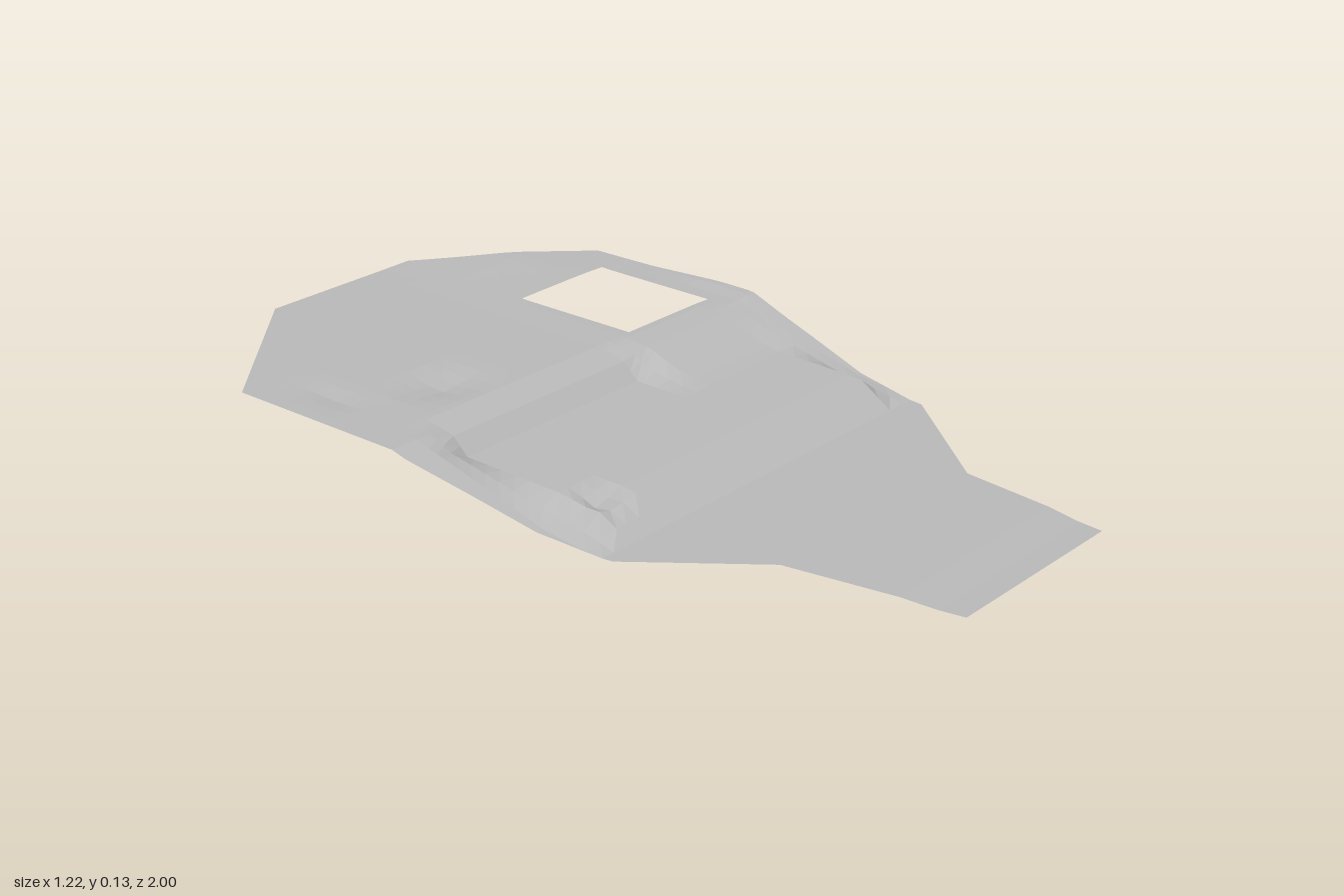
import * as THREE from 'three';

// piecewise-linear lookup through [input, output] pairs
function lerpTable(table, v) {
  if (v <= table[0][0]) return table[0][1];
  for (let i = 1; i < table.length; i++) {
    const [a, p] = table[i - 1], [b, q] = table[i];
    if (v <= b) return p + (q - p) * (v - a) / (b - a);
  }
  return table[table.length - 1][1];
}
const bump = (x, z, cx, cz, rx, rz) =>
  Math.max(0, 1 - Math.abs(x - cx) / rx) * Math.max(0, 1 - Math.abs(z - cz) / rz);

// outline, as x against z
const LEFT = [[-1, -0.22], [-0.67, -0.61], [-0.16, -0.61], [0.34, -0.53], [0.6, -0.325], [1, -0.26]];
const RIGHT = [[-1, 0.22], [-0.69, 0.585], [-0.22, 0.605], [0.35, 0.525], [0.64, 0.28], [1, 0.235]];
const HOLE = { x0: 0.21, x1: 0.5, z0: -0.6, z1: -0.26 };

// heights against z: stepped terraces, soft right-hand slope, and outer ramps
const TERRACE = [[-1, 0.126], [-0.26, 0.124], [-0.18, 0.108], [-0.14, 0.07], [0.195, 0.066], [0.235, 0.062], [0.315, 0.01], [0.86, 0.008], [0.94, 0.002], [1, 0.002]];
const SLOPE = [[-1, 0.126], [-0.24, 0.126], [-0.17, 0.118], [-0.06, 0.08], [0.0, 0.07], [0.195, 0.066], [0.235, 0.062], [0.315, 0.01], [0.86, 0.008], [0.94, 0.002], [1, 0.002]];
const RAMP = [[-1, 0.126], [-0.2, 0.124], [0, 0.072], [0.16, 0.028], [0.315, 0.01], [0.86, 0.008], [0.94, 0.002], [1, 0.002]];

function height(x, z) {
  const soft = THREE.MathUtils.clamp((x - 0.1) / 0.08, 0, 1);
  const inner = THREE.MathUtils.lerp(lerpTable(TERRACE, z), lerpTable(SLOPE, z), soft);
  const edge = x < 0
    ? THREE.MathUtils.clamp((-0.45 - x) / 0.07, 0, 1)
    : THREE.MathUtils.clamp((x - 0.45) / 0.06, 0, 1);
  let y = THREE.MathUtils.lerp(inner, lerpTable(RAMP, z), edge);
  y -= 0.016 * bump(x, z, -0.29, -0.37, 0.12, 0.1);   // small hollow
  y -= 0.008 * bump(x, z, -0.5, -0.5, 0.06, 0.12);
  y -= 0.03 * bump(x, z, -0.41, 0.2, 0.06, 0.07);     // notch in the lower step
  y += 0.01 * bump(x, z, 0.4, -0.8, 0.25, 0.25);      // gentle rise
  y += 0.008 * bump(x, z, 0.59, -0.3, 0.06, 0.2);
  return y;
}

// grid lines that include every outline corner, step and hole edge
function gridLines(from, to, step, keys) {
  const lines = [...keys];
  for (let v = from; v <= to + 1e-6; v += step) {
    if (!keys.some(k => Math.abs(k - v) < step * 0.4)) lines.push(v);
  }
  return lines.sort((a, b) => a - b);
}

function groundGeometry() {
  const xs = gridLines(-0.62, 0.62, 0.04, [-0.62, -0.45, 0.1, HOLE.x0, 0.45, HOLE.x1, 0.62]);
  const keysZ = [...LEFT, ...RIGHT, ...TERRACE].map(p => p[0]).concat(HOLE.z0, HOLE.z1);
  const zs = gridLines(-1, 1, 0.04, [...new Set(keysZ)]);
  const pos = [], index = [];
  for (const z of zs) {
    const l = lerpTable(LEFT, z), r = lerpTable(RIGHT, z);
    for (const gx of xs) {
      const x = THREE.MathUtils.clamp(gx, l, r);
      pos.push(x, height(x, z), z);
    }
  }
  // add a triangle unless the clamped outline has collapsed it
  const tri = (a, b, c) => {
    const X = i => pos[i * 3], Z = i => pos[i * 3 + 2];
    const area = (X(b) - X(a)) * (Z(c) - Z(a)) - (Z(b) - Z(a)) * (X(c) - X(a));
    if (Math.abs(area) > 1e-8) index.push(a, b, c);
  };
  const n = xs.length;
  for (let j = 0; j < zs.length - 1; j++) {
    for (let i = 0; i < n - 1; i++) {
      const mx = (xs[i] + xs[i + 1]) / 2, mz = (zs[j] + zs[j + 1]) / 2;
      if (mx > HOLE.x0 && mx < HOLE.x1 && mz > HOLE.z0 && mz < HOLE.z1) continue;
      const a = j * n + i, b = a + 1, c = a + n, d = c + 1;
      tri(a, c, b);
      tri(b, c, d);
    }
  }
  const geo = new THREE.BufferGeometry();
  geo.setAttribute('position', new THREE.Float32BufferAttribute(pos, 3));
  geo.setIndex(index);
  const flat = geo.toNonIndexed();
  flat.computeVertexNormals();
  return flat;
}

export function createModel() {
  const group = new THREE.Group();
  group.name = 'terracedGround';
  const grey = new THREE.MeshStandardMaterial({ color: 0xb8b8b8, side: THREE.DoubleSide, flatShading: true });
  grey.name = 'stone grey';
  const ground = new THREE.Mesh(groundGeometry(), grey);
  ground.name = 'groundSheet';
  ground.geometry.computeBoundingBox();
  ground.position.y = -ground.geometry.boundingBox.min.y;
  group.add(ground);
  return group;
}
